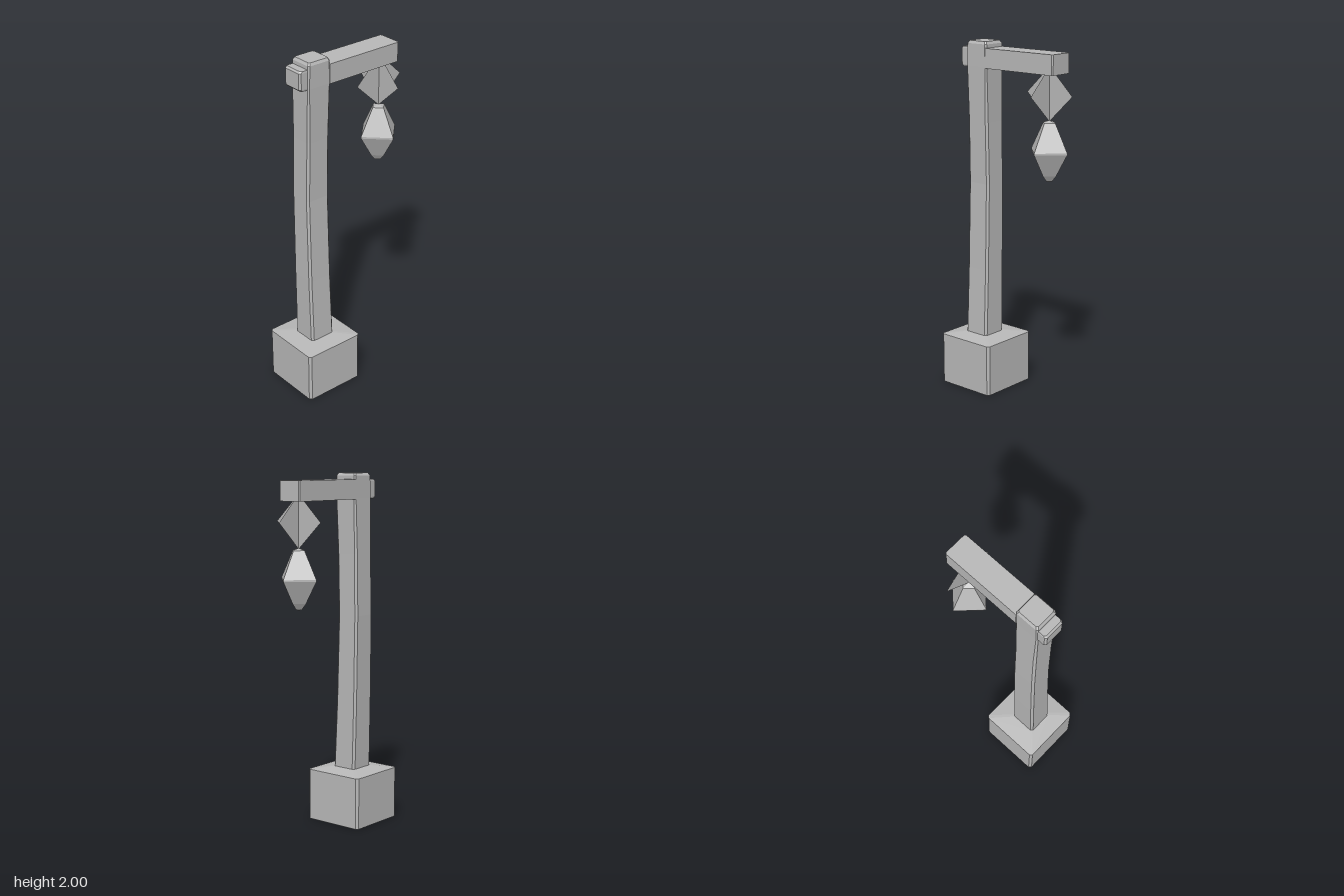
import * as THREE from 'three';

const stone = new THREE.MeshStandardMaterial({ color: 0xb8b8b8, side: THREE.DoubleSide });
stone.name = 'plain grey';

// Faceted mesh: unshared corners give each face its own normal
function facet(name, geometry) {
  const g = geometry.index ? geometry.toNonIndexed() : geometry;
  g.computeVertexNormals();
  const mesh = new THREE.Mesh(g, stone);
  mesh.name = name;
  return mesh;
}

// Stack of rectangles with cut corners; each ring is [y, x0, x1, z0, z1, cut]
function loft(name, rings) {
  const pos = [], idx = [];
  for (const [y, x0, x1, z0, z1, c] of rings) {
    pos.push(
      x0 + c, y, z1, x1 - c, y, z1, x1, y, z1 - c, x1, y, z0 + c,
      x1 - c, y, z0, x0 + c, y, z0, x0, y, z0 + c, x0, y, z1 - c);
  }
  const top = (rings.length - 1) * 8;
  for (let r = 0; r < top; r += 8) {
    for (let i = 0; i < 8; i++) {
      const a = r + i, b = r + (i + 1) % 8;
      idx.push(a, b, b + 8, a, b + 8, a + 8);
    }
  }
  for (let i = 1; i < 7; i++) idx.push(0, i + 1, i, top, top + i, top + i + 1);
  const g = new THREE.BufferGeometry();
  g.setAttribute('position', new THREE.Float32BufferAttribute(pos, 3));
  g.setIndex(idx);
  return facet(name, g);
}

export function createModel() {
  const model = new THREE.Group();
  model.name = 'lanternPost';

  // Square block with a slightly raised top
  model.add(loft('base', [
    [0, -0.405, -0.04, -0.183, 0.183, 0.013],
    [0.295, -0.405, -0.04, -0.183, 0.183, 0.013],
    [0.31, -0.305, -0.15, -0.075, 0.085, 0.01],
  ]));

  // Post, bowed slightly backwards
  model.add(loft('post', [
    [0.29, -0.305, -0.15, -0.068, 0.083, 0.012],
    [0.7, -0.303, -0.152, -0.076, 0.066, 0.012],
    [1.2, -0.3, -0.153, -0.082, 0.053, 0.012],
    [1.55, -0.296, -0.153, -0.077, 0.06, 0.012],
    [1.86, -0.296, -0.15, -0.072, 0.068, 0.008],
    [1.985, -0.292, -0.15, -0.072, 0.068, 0.008],
    [2.0, -0.283, -0.158, -0.062, 0.06, 0.008],
  ]));

  // Arm and the short end poking out on the other side
  model.add(loft('arm', [
    [1.855, -0.16, 0.321, -0.073, 0.07, 0.006],
    [1.965, -0.16, 0.321, -0.073, 0.07, 0.006],
  ]));
  model.add(loft('armStub', [
    [1.855, -0.335, -0.28, -0.062, 0.058, 0.01],
    [1.865, -0.345, -0.28, -0.066, 0.06, 0.01],
    [1.955, -0.345, -0.28, -0.066, 0.06, 0.01],
    [1.965, -0.335, -0.28, -0.062, 0.058, 0.01],
  ]));

  // Hanger: two crossed diamond sheets, the tops cut off inside the arm
  const diamond = new THREE.Shape([[0, -0.147], [0.155, 0], [0.03, 0.12], [-0.03, 0.12], [-0.155, 0]]
    .map(([x, y]) => new THREE.Vector2(x, y)));
  for (const turn of [0, Math.PI / 2]) {
    const sheet = facet('hangerSheet', new THREE.ShapeGeometry(diamond));
    sheet.position.set(0.245, 1.745, 0);
    sheet.rotation.y = turn;
    model.add(sheet);
  }

  // Four-sided lantern
  const profile = [[0, 1.266], [0.022, 1.272], [0.05, 1.305], [0.125, 1.43],
    [0.125, 1.44], [0.042, 1.592], [0, 1.604]].map(([r, y]) => new THREE.Vector2(r, y));
  const lantern = facet('lantern', new THREE.LatheGeometry(profile, 4));
  lantern.position.x = 0.245;
  model.add(lantern);

  return model;
}
